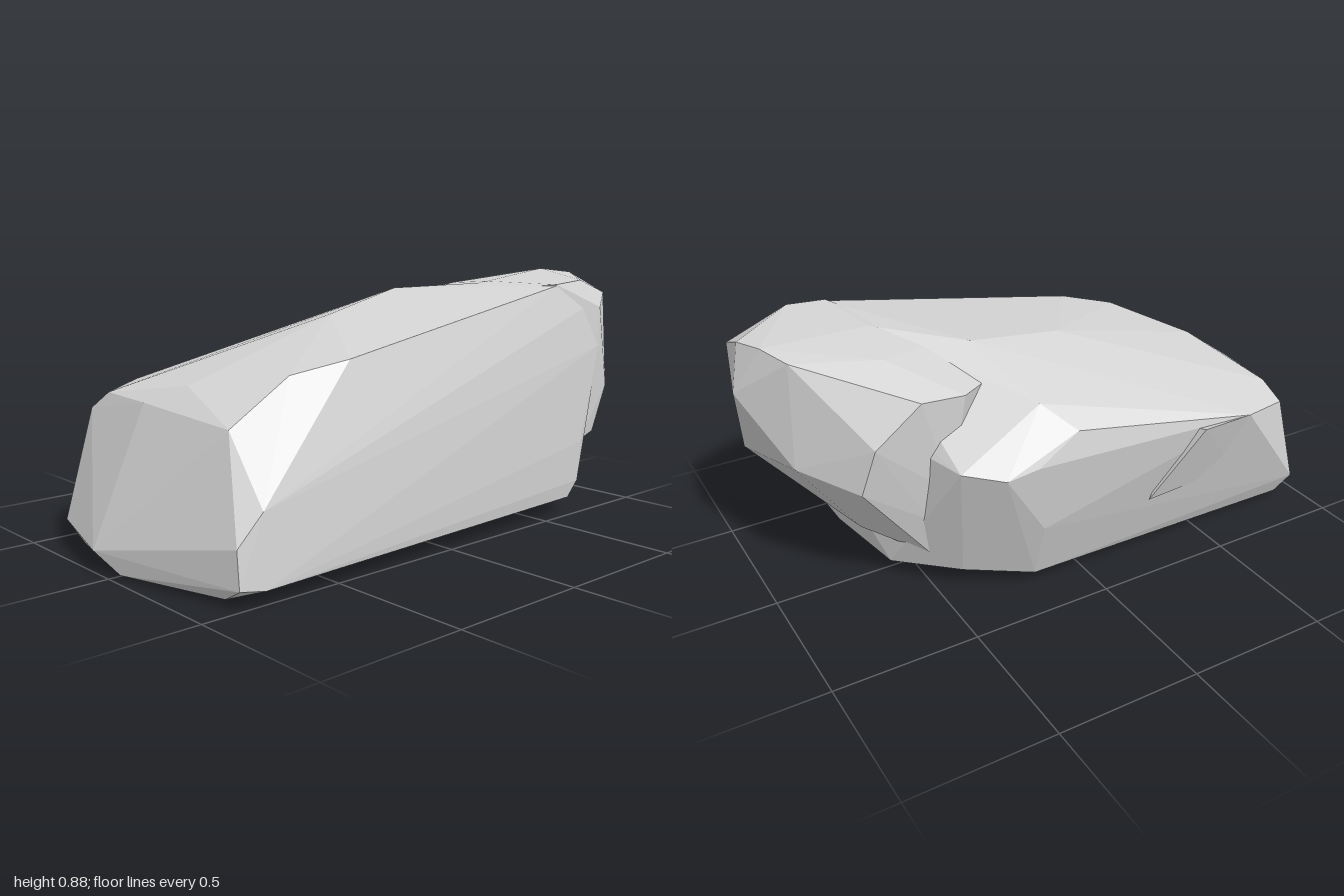
import * as THREE from 'three';
import { ConvexGeometry } from 'three/addons/geometries/ConvexGeometry.js';

const stone = new THREE.MeshStandardMaterial({ color: 0xd6d6d6 });
stone.name = 'grey stone';

// A faceted chunk of rock wrapped around its corner points
function chunk(name, corners) {
  const points = corners.map(([x, y, z]) => new THREE.Vector3(x, y, z));
  const mesh = new THREE.Mesh(new ConvexGeometry(points), stone);
  mesh.name = name;
  return mesh;
}

export function createModel() {
  const rock = new THREE.Group();
  rock.name = 'rock';

  // Long main slab: low blunt front, top sloping up to the back
  rock.add(chunk('mainSlab', [
    // front foot
    [-0.33, 0.02, 0.9], [-0.37, 0.1, 0.94], [-0.09, 0.07, 1], [0.02, 0.01, 0.97],
    [0.43, 0.02, 0.87], [0.5, 0.06, 0.87], [0.52, 0.05, 0.79], [0.49, 0.18, 0.87], [0.26, 0, 0.7],
    // front brow
    [0.51, 0.28, 0.79], [0.35, 0.49, 0.79], [0.07, 0.58, 0.74], [-0.06, 0.52, 0.82],
    [-0.31, 0.52, 0.8], [-0.39, 0.46, 0.82],
    // side shoulders
    [-0.5, 0.52, 0.58], [-0.48, 0.54, 0.3], [0.37, 0.63, 0.58], [0.44, 0.67, 0.4],
    // top crest
    [-0.46, 0.63, -0.1], [-0.37, 0.71, -0.19], [-0.06, 0.825, -0.27], [0.0, 0.755, 0.1],
    [0.17, 0.845, -0.52], [0.46, 0.845, -0.57],
    // ledge beside the back block
    [-0.47, 0.54, -0.25], [-0.46, 0.52, -0.36], [-0.38, 0.54, -0.48],
    // back corner and back foot
    [0.485, 0.76, -0.7], [0.5, 0.62, -0.78], [0.5, 0.27, -0.69], [0.49, 0.12, -0.69],
    [0.48, 0.06, -0.65], [0.3, 0.05, -0.65], [-0.05, 0.06, -0.6], [-0.25, 0.08, -0.42],
    [-0.34, 0.04, -0.19], [-0.42, 0.27, -0.2],
  ]));

  // Thin flake splitting off the left side
  rock.add(chunk('sideFlake', [
    [-0.5, 0.52, 0.58], [-0.52, 0.53, 0.37], [-0.425, 0.25, 0.22],
    [-0.41, 0.26, 0.6], [-0.4, 0.5, 0.35],
  ]));

  // Raised back block, overhanging the foot behind
  rock.add(chunk('backOverhang', [
    // top
    [-0.2, 0.74, -0.3], [0.04, 0.8, -0.33], [-0.27, 0.75, -0.4], [-0.27, 0.76, -0.55],
    [-0.06, 0.83, -0.58], [0.17, 0.85, -0.53], [0, 0.86, -0.87], [0.11, 0.88, -0.92],
    [0.22, 0.87, -0.96], [0.46, 0.86, -0.71], [0.46, 0.85, -0.57],
    // back face
    [0.39, 0.8, -0.95], [0.5, 0.76, -0.78], [0.485, 0.76, -0.7], [0.19, 0.71, -1],
    [0.5, 0.62, -0.78], [-0.24, 0.62, -0.7], [-0.02, 0.5, -0.89], [0.3, 0.45, -0.96],
    [0.48, 0.46, -0.86],
    // underside
    [-0.2, 0.45, -0.74], [0.47, 0.29, -0.8], [0.15, 0.28, -0.78], [0, 0.2, -0.68],
    [-0.22, 0.3, -0.52], [-0.18, 0.13, -0.5], [-0.25, 0.4, -0.45], [0.49, 0.27, -0.69],
  ]));

  return rock;
}
